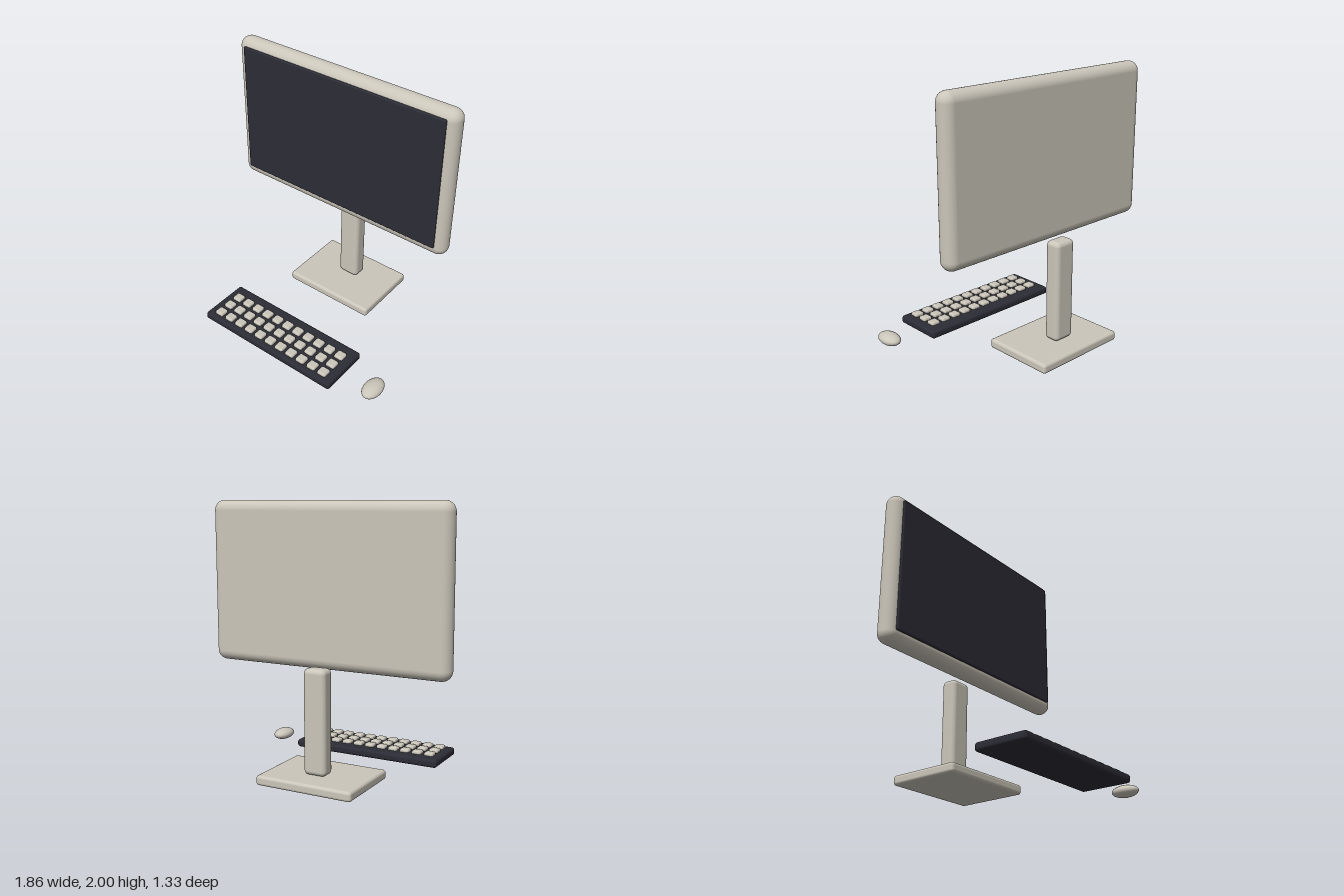
import * as THREE from 'three';
import { RoundedBoxGeometry } from 'three/addons/geometries/RoundedBoxGeometry.js';

export function createModel() {
  const group = new THREE.Group();
  const material = (name, color) => Object.assign(new THREE.MeshStandardMaterial({ color }), { name });
  const beige = material('warm grey plastic', 0xcbc6ba);
  const dark = material('dark plastic', 0x2c2c36);

  // Rounded box centred at x, y, z
  function box(name, mat, [w, h, d], radius, [x, y, z], parent = group) {
    const mesh = new THREE.Mesh(new RoundedBoxGeometry(w, h, d, 5, radius), mat);
    mesh.name = name;
    mesh.position.set(x, y, z);
    parent.add(mesh);
    return mesh;
  }

  // Monitor and its stand
  box('monitorHousing', beige, [1.864, 1.18, 0.15], 0.074, [0, 1.41, -0.29]);
  box('screen', dark, [1.72, 1.04, 0.04], 0.01, [0, 1.424, -0.219]);
  box('standColumn', beige, [0.174, 0.76, 0.124], 0.035, [0, 0.474, -0.441]);
  box('standBase', beige, [0.755, 0.072, 0.556], 0.022, [0, 0.055, -0.391]);

  // Keyboard body with a grid of keys
  box('keyboardBody', dark, [1.21, 0.062, 0.4], 0.022, [0, 0.049, 0.464]);
  const keys = new THREE.Group();
  keys.name = 'keys';
  group.add(keys);
  for (let row = 0; row < 3; row++) {
    for (let col = 0; col < 11; col++) {
      box('key', beige, [0.075, 0.036, 0.072], 0.014,
        [(col - 5) * 0.101, 0.085, 0.487 + (row - 1) * 0.101], keys);
    }
  }

  // Mouse
  const mouse = new THREE.Mesh(new THREE.SphereGeometry(1, 32, 20), beige);
  mouse.name = 'mouse';
  mouse.scale.set(0.07, 0.044, 0.106);
  mouse.position.set(0.857, 0.048, 0.465);
  group.add(mouse);

  return group;
}
